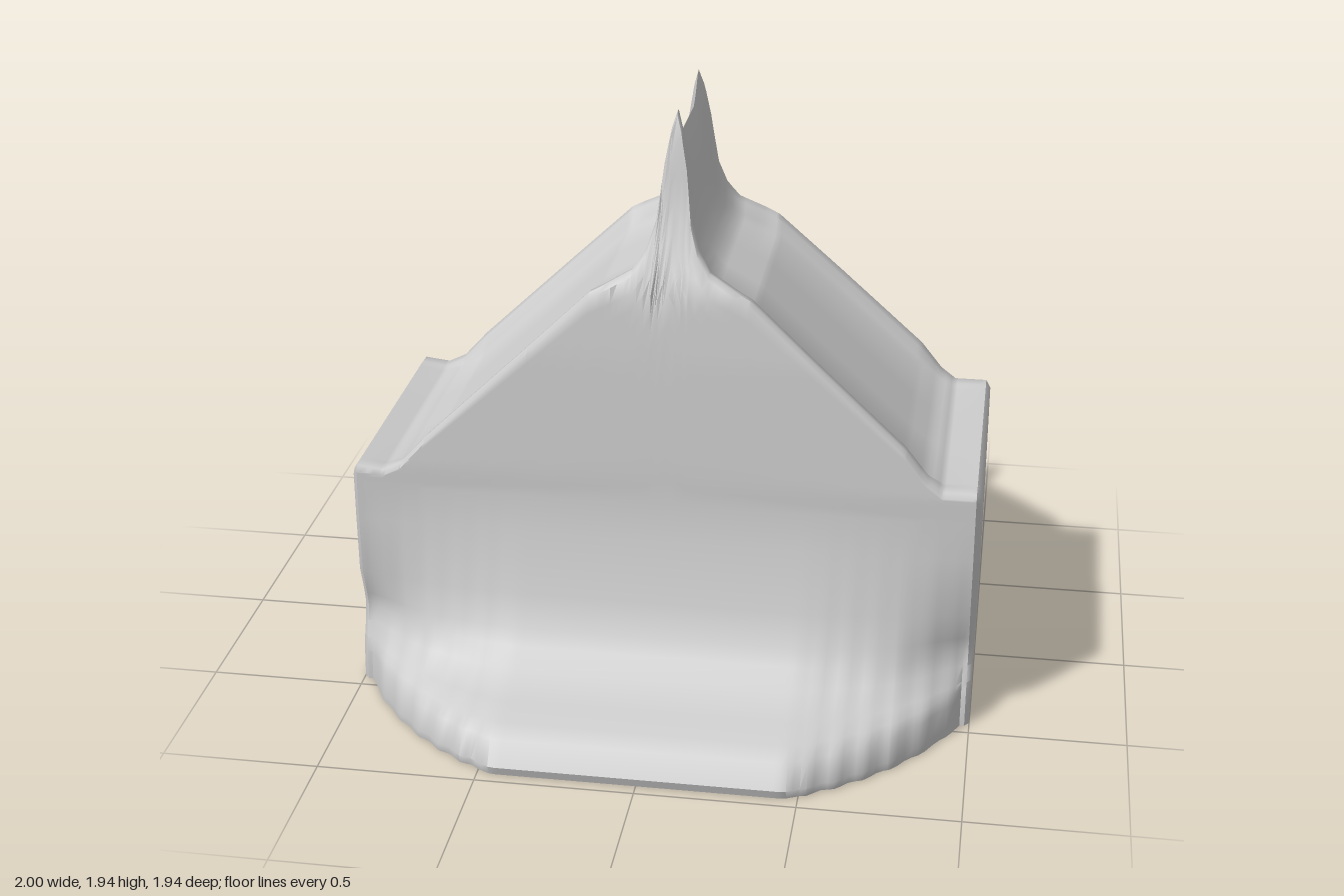
import * as THREE from 'three';
import { toCreasedNormals } from 'three/addons/utils/BufferGeometryUtils.js';

// piecewise-linear lookup through [input, output] pairs
function curve(points, v) {
  if (v <= points[0][0]) return points[0][1];
  for (let i = 1; i < points.length; i++) {
    const [a, p] = points[i - 1], [b, q] = points[i];
    if (v <= b) return p + (q - p) * (v - a) / (b - a);
  }
  return points[points.length - 1][1];
}

// gable outline: eave lips, slopes and the thin ridge fin
const ROOF = [[-1, 0.76], [-0.985, 0.78], [-0.9, 0.77], [-0.84, 0.8], [-0.76, 0.89], [-0.23, 1.4], [-0.1, 1.47],
  [-0.06, 1.53], [-0.035, 1.61], [-0.015, 1.78], [0.005, 1.89], [0.02, 1.94], [0.035, 1.89], [0.055, 1.78],
  [0.075, 1.61], [0.1, 1.53], [0.14, 1.47], [0.27, 1.4], [0.76, 0.95], [0.83, 0.86], [0.88, 0.82],
  [0.985, 0.82], [1, 0.8]];
// half depth of the wall by height
const WALL = [[0, 0.46], [0.8, 0.46], [1.2, 0.435], [1.42, 0.41], [1.5, 0.36], [1.63, 0.305],
  [1.75, 0.275], [1.86, 0.255], [1.94, 0.225]];
// how far the wall flares out towards the base outline
const FLARE = [[0, 0.98], [0.03, 1], [0.1, 0.9], [0.13, 0.8], [0.15, 0.62], [0.2, 0.38], [0.25, 0.28],
  [0.3, 0.21], [0.4, 0.13], [0.6, 0.04], [0.72, 0]];
// depth of the sunken panels between the gable rims
const RECESS = [[0, 0.09], [0.05, 0.09], [0.12, 0.06], [0.76, 0.06], [0.86, 0.01], [1, 0]];

// round base outline, cut straight at front and sides, with a rippled edge
function baseDepth(x) {
  const round = Math.sqrt(1.15 - x * x);
  const ripple = round < 0.95 && Math.abs(x) < 0.95 ? 0.007 * Math.sin(x * 75) : 0;
  return Math.max(0.46, Math.min(0.97, round + ripple));
}

function wallDepth(x, y) {
  const corner = THREE.MathUtils.smoothstep(Math.abs(x), 0.72, 0.95);
  const dent = 0.05 * corner * Math.exp(-(((y - 0.25) / 0.1) ** 2));
  return curve(WALL, y) + (baseDepth(x) - 0.46) * curve(FLARE, y) - dent;
}

// half of one cross-section, from the base up and over to the middle
function halfSection(x) {
  const top = curve(ROOF, x), pts = [];
  const inset = Math.abs(x) > 0.99 ? 0.02 : 0;
  for (const [y] of FLARE) pts.push([wallDepth(x, y) - inset, y]);
  const steps = 14;
  for (let i = 1; i <= steps; i++) {
    const y = 0.72 + (top - 0.015 - 0.72) * i / steps;
    pts.push([wallDepth(x, y) - inset, y]);
  }
  const w = wallDepth(x, top) - inset, drop = curve(RECESS, Math.abs(x));
  const inner = curve([[1.5, 0.8], [1.85, 0.5]], top);
  pts.push([w * 0.97, top], [w * 0.88, top - drop * 0.1]);
  pts.push([w * (0.88 + inner) / 2, top - drop * 0.65], [w * inner, top - drop], [w * 0.25, top - drop]);
  return pts;
}

// loft the cross-sections along x and close both ends
function bodyGeometry() {
  const stations = ROOF.map(p => p[0]);
  for (let i = -48; i <= 48; i++) {
    const x = i / 49.5;
    if (!stations.some(s => Math.abs(s - x) < 0.005)) stations.push(x);
  }
  stations.sort((a, b) => a - b);

  const position = [], index = [];
  let n = 0;
  for (const x of stations) {
    const half = halfSection(x);
    const loop = [...half, ...half.slice().reverse().map(([z, y]) => [-z, y])];
    n = loop.length;
    for (const [z, y] of loop) position.push(x, y, z);
  }
  for (let i = 0; i < stations.length - 1; i++) {
    for (let j = 0; j < n; j++) {
      const k = (j + 1) % n;
      const a = i * n + j, b = i * n + k, c = b + n, d = a + n;
      index.push(a, d, c, a, c, b);
    }
  }
  const last = (stations.length - 1) * n, centre = position.length / 3;
  position.push(-1, 0.4, 0, 1, 0.4, 0);
  for (let j = 0; j < n; j++) {
    const k = (j + 1) % n;
    index.push(centre, j, k, centre + 1, last + k, last + j);
  }
  const geometry = new THREE.BufferGeometry();
  geometry.setAttribute('position', new THREE.Float32BufferAttribute(position, 3));
  geometry.setIndex(index);
  return toCreasedNormals(geometry, 0.9);
}

export function createModel() {
  const group = new THREE.Group();
  const material = new THREE.MeshStandardMaterial({ color: 0xcccccc });
  const body = new THREE.Mesh(bodyGeometry(), material);
  body.name = 'gabledBody';
  group.add(body);
  return group;
}
